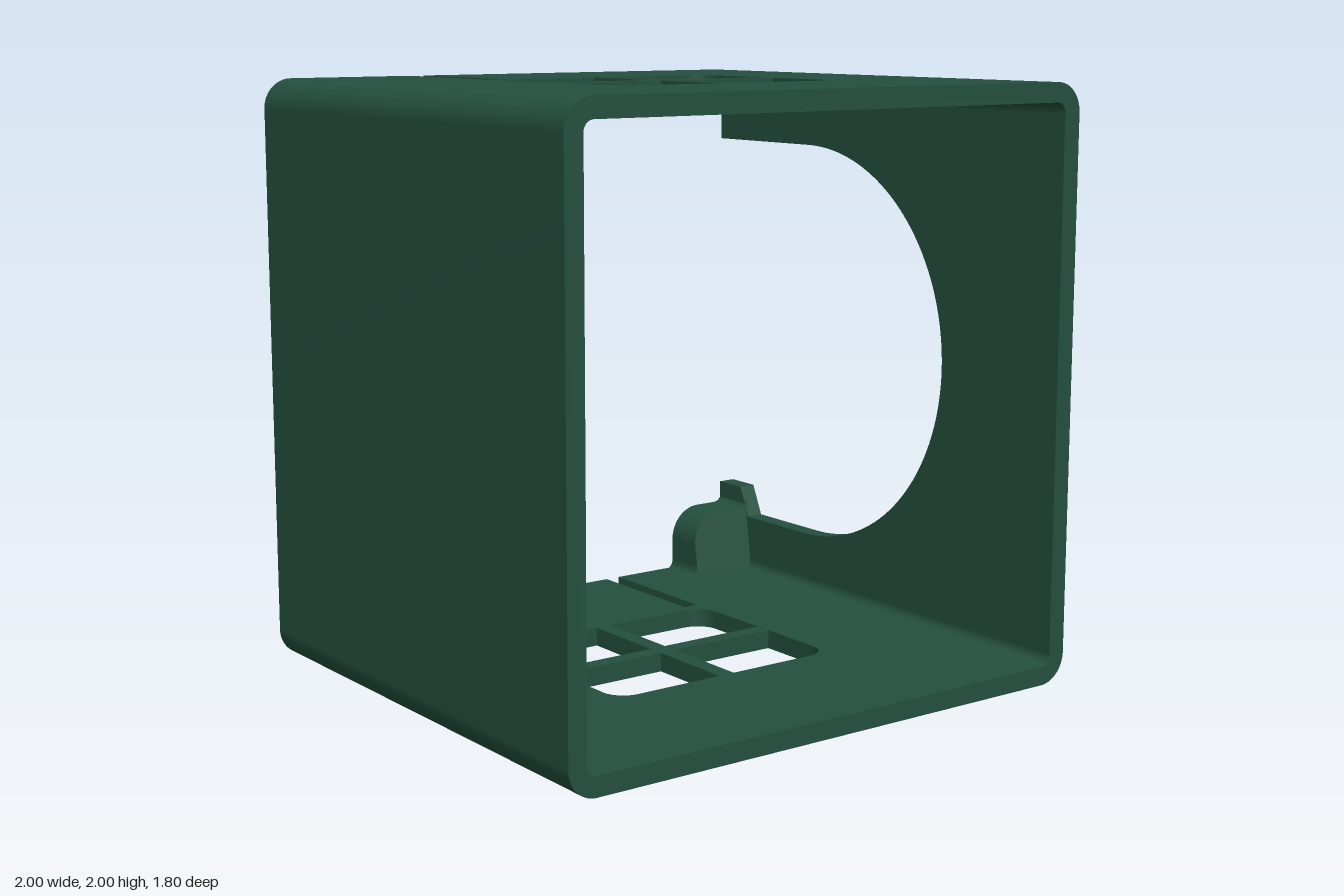
import * as THREE from 'three';
import { toCreasedNormals } from 'three/addons/utils/BufferGeometryUtils.js';

const WALL = 0.065, BACK = 0.9, R = 0.1, PI = Math.PI;
const material = new THREE.MeshStandardMaterial({ color: 0x24503f });

function extrude(shape, depth, curveSegments = 16) {
  return new THREE.ExtrudeGeometry(shape, { depth, bevelEnabled: false, curveSegments });
}

function part(name, geometry, parent) {
  const mesh = new THREE.Mesh(toCreasedNormals(geometry, 0.6), material);
  mesh.name = name;
  parent.add(mesh);
  return mesh;
}

// one window pane, rounded only at its outer corner (sx, sy pick the quadrant)
function pane(sx, sy) {
  const p = new THREE.Path(), cy = 0.01, r = 0.08, x0 = 0.03, x1 = 0.44, y0 = 0.03, y1 = 0.355;
  const at = (x, y) => [sx * x, cy + sy * y];
  p.moveTo(...at(x0, y0));
  p.lineTo(...at(x1, y0));
  p.lineTo(...at(x1, y1 - r));
  const k = r * 0.45;
  p.bezierCurveTo(...at(x1, y1 - k), ...at(x1 - k, y1), ...at(x1 - r, y1));
  p.lineTo(...at(x0, y1));
  p.closePath();
  return p;
}

// flat panel with four panes and a slot running in from the back edge
function panelGeometry() {
  const s = new THREE.Shape();
  [[-0.9, -BACK], [0.9, -BACK], [0.9, BACK], [-0.385, BACK], [-0.385, 0.4],
    [-0.44, 0.4], [-0.44, BACK], [-0.9, BACK]]
    .forEach(([x, y], i) => (i ? s.lineTo(x, y) : s.moveTo(x, y)));
  s.closePath();
  for (const sx of [-1, 1]) for (const sy of [-1, 1]) s.holes.push(pane(sx, sy));
  return extrude(s, WALL).rotateX(-PI / 2).translate(0, 2 - WALL, 0);
}

// closed side wall together with its two rounded corners
function closedWallGeometry() {
  const s = new THREE.Shape(), r = R - WALL;
  s.moveTo(-0.9, 0);
  s.absarc(-0.9, R, R, -PI / 2, -PI, true);
  s.absarc(-0.9, 2 - R, R, PI, PI / 2, true);
  s.lineTo(-0.9, 2 - WALL);
  s.absarc(-0.9, 2 - R, r, PI / 2, PI, false);
  s.absarc(-0.9, R, r, PI, PI * 1.5, false);
  s.closePath();
  return extrude(s, 2 * BACK).translate(0, 0, -BACK);
}

function cornerGeometry(y, a0, a1) {
  const s = new THREE.Shape();
  s.absarc(0.9, y, R, a0, a1, false);
  s.absarc(0.9, y, R - WALL, a1, a0, true);
  s.closePath();
  return extrude(s, 2 * BACK).translate(0, 0, -BACK);
}

// side wall with a round-ended cutout open to the back and a raised tab
function openWallGeometry() {
  const s = new THREE.Shape();
  s.moveTo(-BACK, R);
  s.lineTo(BACK, R);
  s.lineTo(BACK, 0.38);
  s.lineTo(0.77, 0.38);
  s.lineTo(0.72, 0.27);
  s.lineTo(0.38, 0.27);
  s.absarc(0.38, 1.003, 0.733, -PI / 2, PI / 2, true);
  s.lineTo(BACK, 1.736);
  s.lineTo(BACK, 2 - R);
  s.lineTo(-BACK, 2 - R);
  s.closePath();
  return extrude(s, WALL, 48).rotateY(PI / 2).translate(1 - WALL, 0, 0);
}

// corner lobe outline with small fillets into the floor and wall
function lobe() {
  const s = new THREE.Shape();
  s.moveTo(0.665, 0.06);
  s.quadraticCurveTo(0.7, 0.065, 0.7, 0.1);
  s.absarc(0.82, 0.18, 0.12, PI, PI / 2, true);
  s.lineTo(0.9, 0.3);
  s.quadraticCurveTo(0.935, 0.3, 0.94, 0.335);
  s.lineTo(0.95, 0.1);
  s.quadraticCurveTo(0.95, 0.05, 0.9, 0.05);
  s.closePath();
  return s;
}

// screw boss: blind hole at the back, sloping solid end at the front
function screwBoss() {
  const g = new THREE.Group(), split = -0.79;
  const ring = lobe();
  ring.holes.push(new THREE.Path().absarc(0.83, 0.17, 0.085, 0, PI * 2, true));
  part('bossSocket', extrude(ring, split + BACK).translate(0, 0, -BACK), g);
  const end = extrude(lobe(), 0.02).translate(0, 0, split);
  const p = end.attributes.position;
  for (let i = 0; i < p.count; i++) {
    if (p.getZ(i) > split + 0.01) p.setZ(i, p.getZ(i) + 0.15 * (p.getX(i) - p.getY(i) - 0.4));
  }
  part('bossEnd', end, g);
  return g;
}

// half-turn about the tube axis
function halfTurn(object) {
  object.rotation.z = PI;
  object.position.y = 2;
  return object;
}

export function createModel() {
  const model = new THREE.Group();
  model.name = 'squareSleeve';

  // top and bottom panels
  part('topPanel', panelGeometry(), model);
  halfTurn(part('bottomPanel', panelGeometry(), model));

  // side walls and rounded corners
  part('closedSideWall', closedWallGeometry(), model);
  part('openSideWall', openWallGeometry(), model);
  part('lowerCorner', cornerGeometry(R, -PI / 2, 0), model);
  part('upperCorner', cornerGeometry(2 - R, 0, PI / 2), model);

  // screw bosses in two opposite back corners
  const lower = screwBoss();
  lower.name = 'lowerScrewBoss';
  const upper = halfTurn(screwBoss());
  upper.name = 'upperScrewBoss';
  model.add(lower, upper);

  return model;
}
